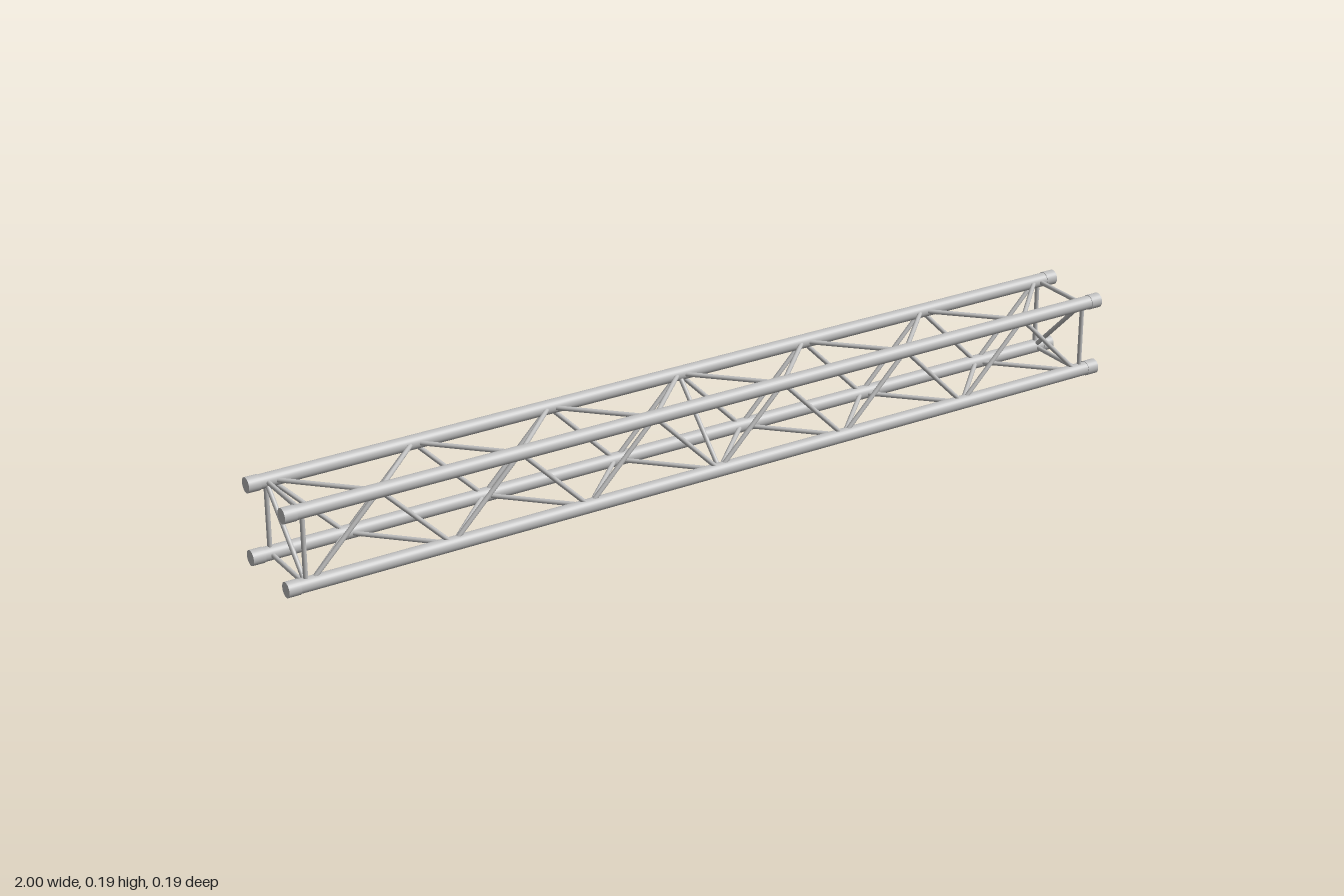
import * as THREE from 'three';

export function createModel() {
  const model = new THREE.Group();
  model.name = 'boxTruss';
  const aluminium = new THREE.MeshStandardMaterial({ color: 0xc0c0c0 });
  aluminium.name = 'aluminium';

  const H = 0.08;        // half spacing of the chords
  const MID = 0.0965;    // height of the truss axis
  const PITCH = 0.158;   // length of one bay
  const END = 0.957;     // position of the end frames
  const corner = (x, up, front) => new THREE.Vector3(x, MID + up * H, front * H);

  // Round bar between two points
  function bar(name, a, b, radius, sides = 12) {
    const dir = b.clone().sub(a);
    const mesh = new THREE.Mesh(new THREE.CylinderGeometry(radius, radius, dir.length(), sides), aluminium);
    mesh.name = name;
    mesh.position.copy(a).add(b).multiplyScalar(0.5);
    mesh.quaternion.setFromUnitVectors(new THREE.Vector3(0, 1, 0), dir.normalize());
    model.add(mesh);
  }

  // Main chords with an end sleeve on each tip
  for (const up of [-1, 1]) for (const front of [-1, 1]) {
    bar('chord', corner(-0.99, up, front), corner(0.99, up, front), 0.0152, 28);
    for (const s of [-1, 1]) {
      bar('endSleeve', corner(s * 0.973, up, front), corner(s, up, front), 0.0165, 28);
    }
  }

  // Corners around the section, in order
  const ring = [[-1, 1], [1, 1], [1, -1], [-1, -1]];

  // Zigzag lacing on the four faces; neighbouring faces share nodes
  ring.forEach((c, i) => {
    const d = ring[(i + 1) % 4];
    for (let k = -6; k < 6; k++) {
      const even = Math.abs(k + i) % 2 === 0;
      const [from, to] = even ? [c, d] : [d, c];
      bar('lacing', corner(k * PITCH, ...from), corner((k + 1) * PITCH, ...to), 0.005);
    }
    // Square end frames
    for (const s of [-1, 1]) bar('endFrame', corner(s * END, ...c), corner(s * END, ...d), 0.005);
  });

  // Cross braces inside the section
  bar('endBrace', corner(END, 1, 1), corner(END, -1, -1), 0.005);
  bar('endBrace', corner(-END, 1, -1), corner(-END, -1, 1), 0.005);
  bar('middleBrace', corner(0, 1, -1), corner(0, -1, 1), 0.005);

  return model;
}
